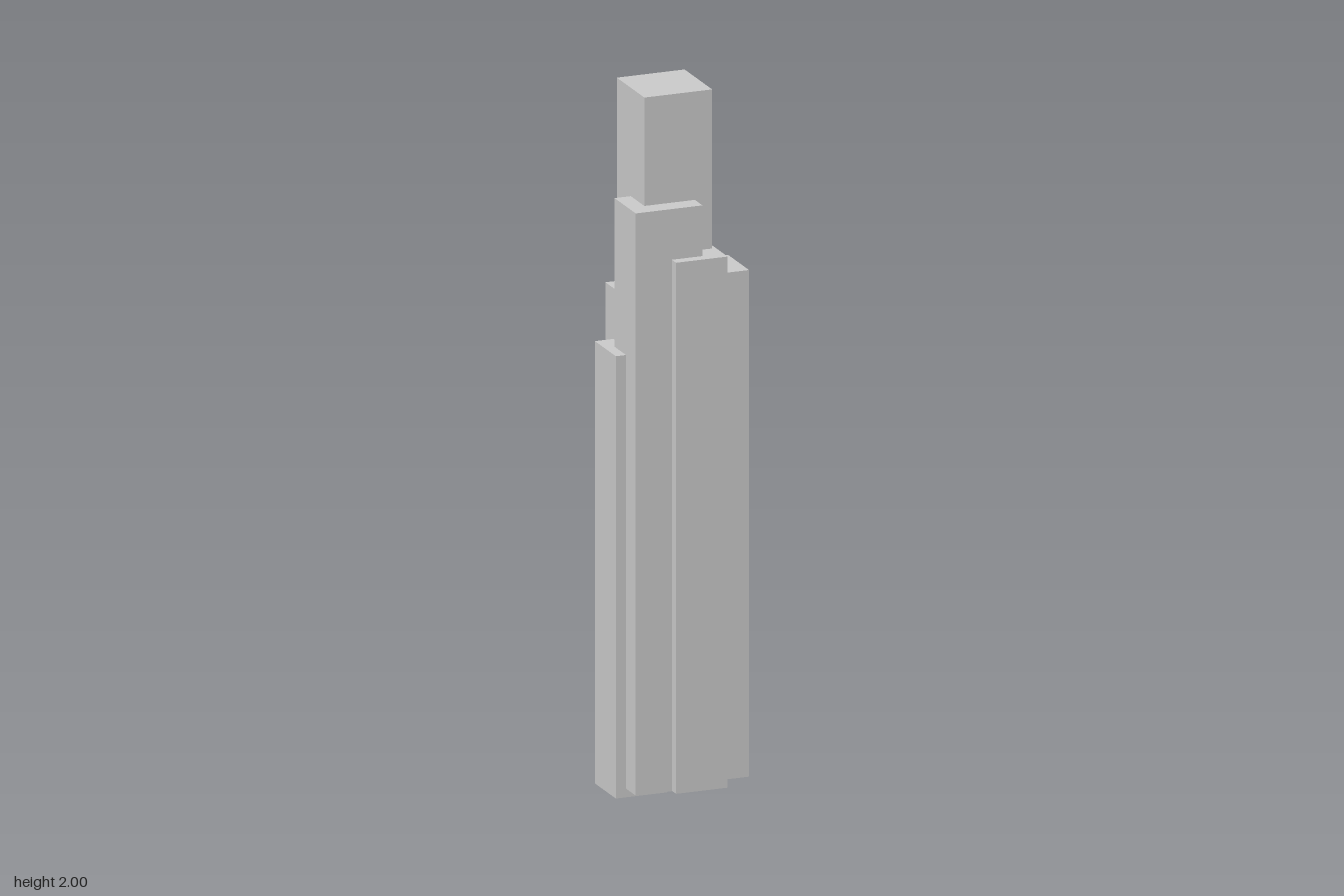
import * as THREE from 'three';

// Each tower is a plain box: [name, x range, y range, z range]
const TOWERS = [
  ['coreTower', [-0.109, 0.091], [0.012, 2.0], [-0.111, 0.088]],
  ['frontLeftTower', [-0.157, 0.040], [0.025, 1.69], [-0.010, 0.143]],
  ['frontTower', [-0.050, 0.102], [0.026, 1.545], [0.022, 0.173]],
  ['rightTower', [0.035, 0.186], [0.033, 1.482], [-0.029, 0.122]],
  ['backRightTower', [-0.023, 0.128], [0.03, 1.55], [-0.176, -0.025]],
  ['backLeftTower', [-0.132, 0.019], [0.005, 1.41], [-0.137, 0.014]],
  ['leftTower', [-0.187, -0.036], [0, 1.265], [-0.078, 0.073]],
];

export function createModel() {
  const group = new THREE.Group();
  group.name = 'towerCluster';
  const material = new THREE.MeshStandardMaterial({ color: 0xcccccc, flatShading: true });

  // Stepped bundle of overlapping towers around the core
  for (const [name, ...ranges] of TOWERS) {
    const size = ranges.map(([a, b]) => b - a);
    const centre = ranges.map(([a, b]) => (a + b) / 2);
    const tower = new THREE.Mesh(new THREE.BoxGeometry(...size), material);
    tower.name = name;
    tower.position.set(...centre);
    group.add(tower);
  }
  return group;
}
